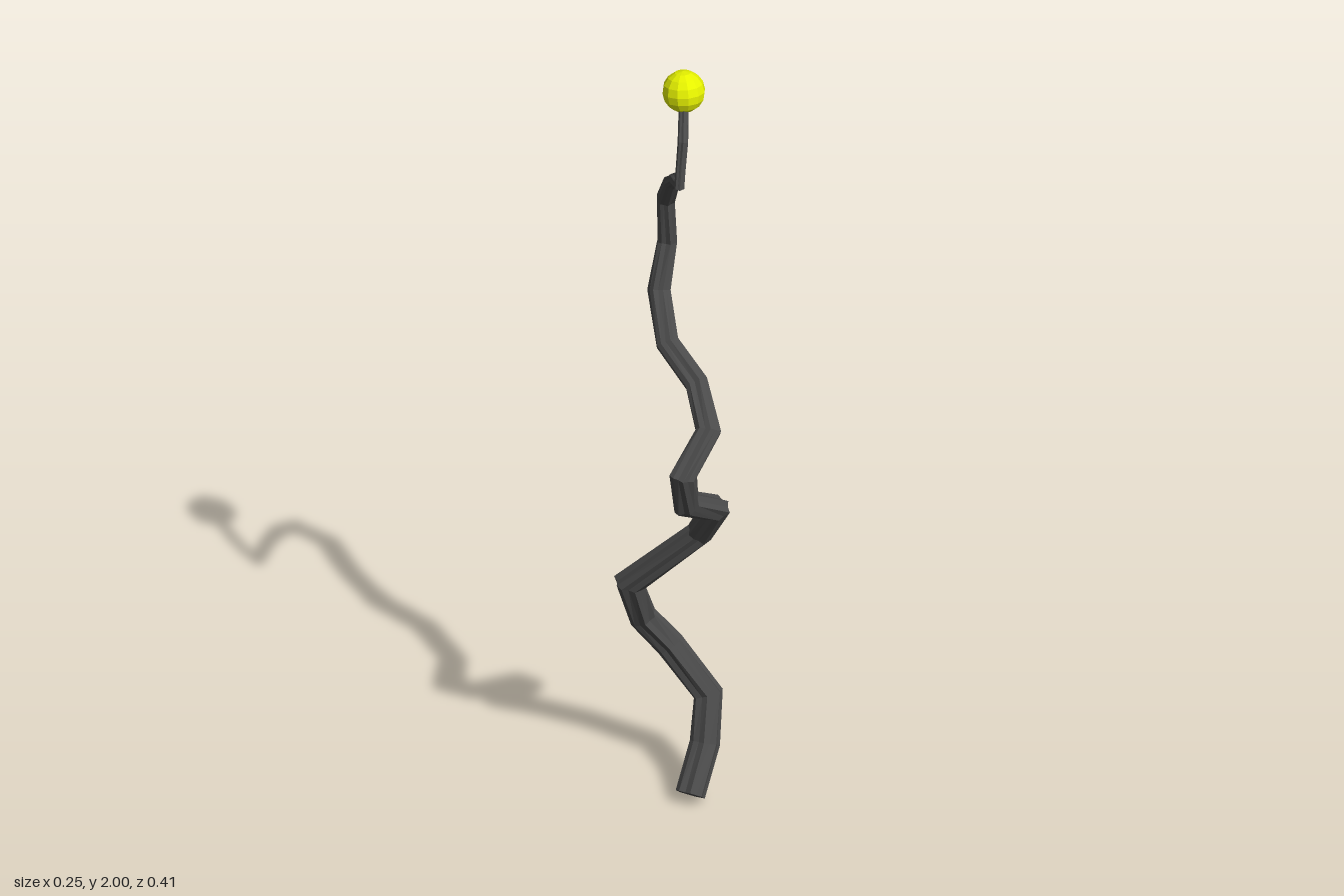
import * as THREE from 'three';

// Stem stations from foot to tip: x, y, z, radius
const STATIONS = [
  [0.024, 0.022, 0.087, 0.033], [0.073, 0.12, 0.025, 0.033], [0.093, 0.225, -0.022, 0.032],
  [0.012, 0.345, -0.07, 0.031], [-0.05, 0.42, -0.085, 0.031], [-0.088, 0.54, -0.056, 0.031],
  [0.062, 0.705, 0.02, 0.03], [0.085, 0.805, 0.08, 0.03],
  [0.002, 0.87, 0.141, 0.03], [-0.014, 0.97, 0.174, 0.029], [0.058, 1.055, 0.126, 0.028],
  [0.054, 1.125, 0.025, 0.027], [0.002, 1.195, -0.055, 0.026], [0.002, 1.29, -0.14, 0.025],
  [0.031, 1.40, -0.177, 0.023], [0.024, 1.525, -0.165, 0.021], [0.023, 1.615, -0.098, 0.018],
  [0.01, 1.685, 0, 0.015], [-0.009, 1.742, 0.114, 0.012], [0.004, 1.85, 0.096, 0.012],
  [0.02, 1.94, 0.038, 0.011],
];
// Uneven bark ridges around the cross-section
const RIDGES = [1.08, 0.88, 1.1, 1.02, 0.86, 1.1, 0.9, 1.08, 1.04, 0.86, 1.07, 0.95, 1.1, 0.9];

// Faceted stem swept along the stations, with mitred joints
function stemGeometry() {
  const pts = STATIONS.map(([x, y, z]) => new THREE.Vector3(x, y, z));
  const n = RIDGES.length, last = pts.length - 1;
  const positions = [], index = [];
  const side = new THREE.Vector3(1, 0, 0);
  pts.forEach((p, i) => {
    const prev = Math.max(i, 1), next = Math.min(i, last - 1);
    const before = pts[prev].clone().sub(pts[prev - 1]).normalize();
    const after = pts[next + 1].clone().sub(pts[next]).normalize();
    const dir = before.clone().add(after).normalize();
    const stretch = Math.min(1 / before.dot(dir), 1.3);
    const bend = after.clone().sub(before).normalize();
    side.addScaledVector(dir, -side.dot(dir)).normalize();
    const up = dir.clone().cross(side);
    RIDGES.forEach((ridge, j) => {
      const a = (j / n) * Math.PI * 2;
      const r = STATIONS[i][3] * ridge * (1 + 0.04 * Math.sin(i * 2.3 + j * 1.9));
      const v = side.clone().multiplyScalar(Math.cos(a) * r).addScaledVector(up, Math.sin(a) * r);
      v.addScaledVector(bend, v.dot(bend) * (stretch - 1)).add(p);
      positions.push(v.x, v.y, v.z);
      if (i < last) {
        const k = (j + 1) % n, a0 = i * n + j, b0 = i * n + k;
        index.push(a0, b0, b0 + n, a0, b0 + n, a0 + n);
      }
    });
  });
  // End caps
  const foot = positions.length / 3, tip = foot + 1;
  positions.push(...pts[0].toArray(), ...pts[last].toArray());
  for (let j = 0; j < n; j++) {
    const k = (j + 1) % n;
    index.push(foot, k, j, tip, last * n + j, last * n + k);
  }
  const geo = new THREE.BufferGeometry();
  geo.setAttribute('position', new THREE.Float32BufferAttribute(positions, 3));
  geo.setIndex(index);
  geo.computeVertexNormals();
  return geo;
}

export function createModel() {
  const group = new THREE.Group();

  // Crooked tapering stem
  const stem = new THREE.Mesh(stemGeometry(),
    new THREE.MeshStandardMaterial({ color: 0x4a4a4a, flatShading: true }));
  stem.name = 'stem';
  group.add(stem);

  // Ball on the tip
  const ball = new THREE.Mesh(new THREE.SphereGeometry(0.051, 12, 8),
    new THREE.MeshStandardMaterial({ color: 0xe6f200, flatShading: true }));
  ball.name = 'ball';
  ball.position.set(0.021, 1.949, 0.032);
  ball.rotation.x = -0.2;
  group.add(ball);

  return group;
}
